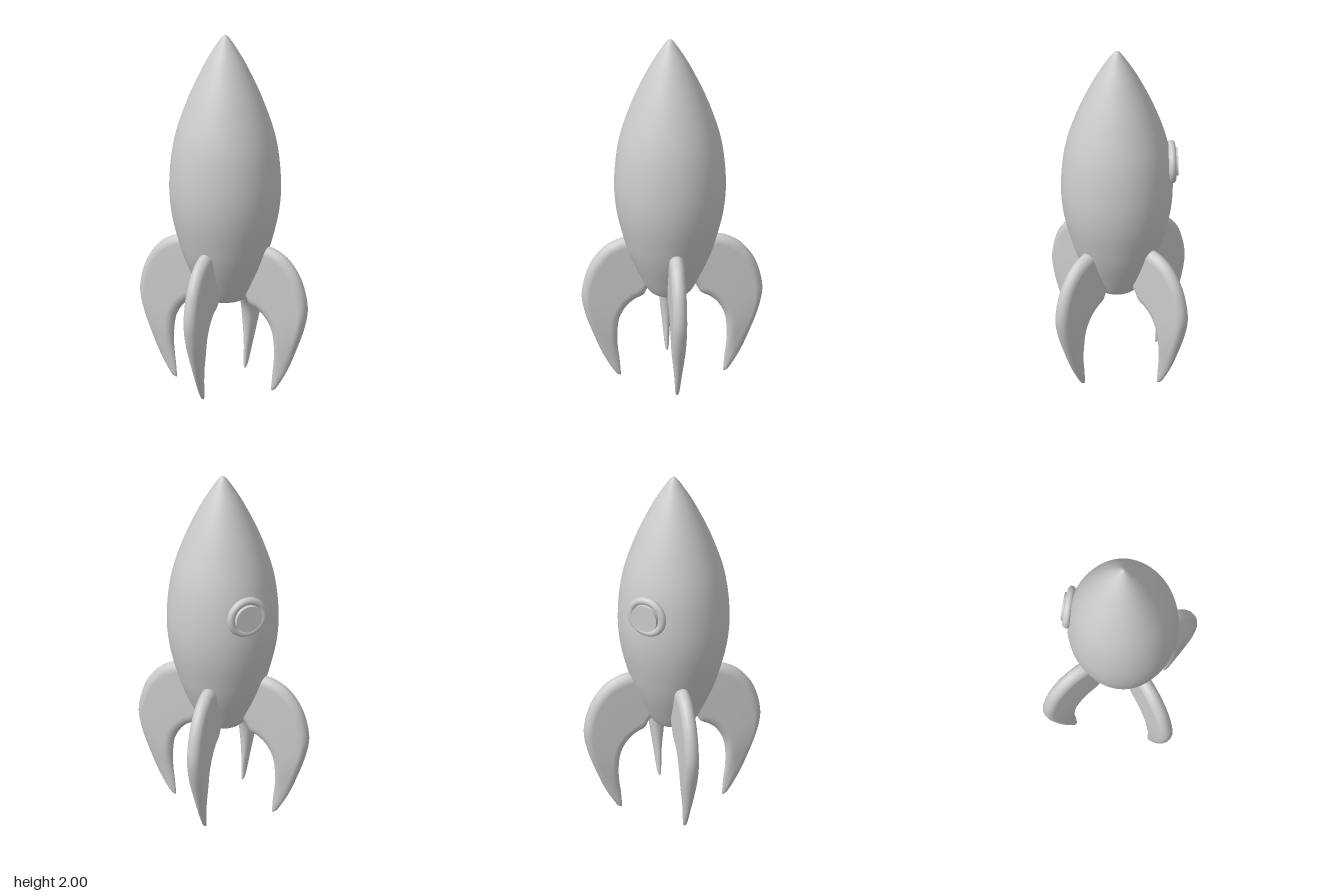
import * as THREE from 'three';

const material = new THREE.MeshStandardMaterial({ color: 0xcccccc });
const v2 = (p) => new THREE.Vector2(p[0], p[1]);
const BODY_X = 0.012, BODY_Z = 0.012; // hull axis sits slightly off the fin centre

function part(name, geometry) {
  const mesh = new THREE.Mesh(geometry, material);
  mesh.name = name;
  return mesh;
}

// Hull: smooth spindle with a rounded base and pointed nose
function hullGeometry() {
  const profile = new THREE.SplineCurve([
    [0, 0.493], [0.07, 0.495], [0.108, 0.508], [0.132, 0.54], [0.165, 0.605],
    [0.212, 0.71], [0.249, 0.82], [0.291, 1.0], [0.301, 1.18], [0.276, 1.4],
    [0.207, 1.62], [0.118, 1.82], [0.05, 1.94], [0.016, 1.99], [0, 2.0],
  ].map(v2)).getPoints(84);
  profile.forEach((p) => { p.x = Math.max(0, p.x); });
  return new THREE.LatheGeometry(profile, 64);
}

// Fin: sections lofted between an outer and an inner edge, thinning to the tip
function finGeometry() {
  const outer = [[0.15, 0.81], [0.24, 0.823], [0.32, 0.8], [0.39, 0.748], [0.455, 0.648],
    [0.489, 0.505], [0.47, 0.38], [0.42, 0.24], [0.37, 0.125], [0.31, 0.025], [0.285, 0.004]];
  const inner = [[0.1, 0.56], [0.135, 0.515], [0.155, 0.48], [0.205, 0.453], [0.25, 0.41],
    [0.285, 0.34], [0.296, 0.25], [0.293, 0.17], [0.284, 0.1], [0.278, 0.03], [0.277, 0.004]];
  const half = [0.04, 0.04, 0.04, 0.04, 0.04, 0.039, 0.035, 0.026, 0.018, 0.011, 0.004];
  const curve = (pts) => new THREE.CatmullRomCurve3(
    pts.map((p, i) => new THREE.Vector3(p[0], p[1], half[i])), false, 'catmullrom');
  const outerCurve = curve(outer), innerCurve = curve(inner);
  const stations = 60, arc = 9, ring = arc * 2;
  const positions = [], index = [];

  for (let s = 0; s <= stations; s++) {
    const o = outerCurve.getPoint(s / stations), n = innerCurve.getPoint(s / stations);
    const dx = o.x - n.x, dy = o.y - n.y, chord = Math.hypot(dx, dy);
    const edge = Math.min(0.05, chord / 2); // length of the rounded edge
    for (let k = 0; k < ring; k++) {
      const outerHalf = k < arc;
      const a = -Math.PI / 2 + Math.PI * (outerHalf ? k / (arc - 1) : 1 + (k - arc) / (arc - 1));
      const d = (outerHalf ? chord - edge : edge) + edge * Math.cos(a);
      positions.push(n.x + dx / chord * d, n.y + dy / chord * d, o.z * Math.sin(a));
    }
  }
  for (let s = 0; s < stations; s++) {
    for (let k = 0; k < ring; k++) {
      const a = s * ring + k, b = s * ring + (k + 1) % ring;
      index.push(a, b, a + ring, b, b + ring, a + ring);
    }
  }
  // Close the tip
  const last = stations * ring;
  for (let k = 1; k < ring - 1; k++) index.push(last, last + k, last + k + 1);

  const geometry = new THREE.BufferGeometry();
  geometry.setAttribute('position', new THREE.Float32BufferAttribute(positions, 3));
  geometry.setIndex(index);
  geometry.computeVertexNormals();
  return geometry;
}

// Porthole, facing +z: rounded rim, backing plate and raised glass
function createPorthole() {
  const porthole = new THREE.Group();
  porthole.name = 'porthole';
  porthole.add(part('portholeRim', new THREE.TorusGeometry(0.096, 0.021, 16, 48)));

  const plate = part('portholePlate', new THREE.CylinderGeometry(0.096, 0.096, 0.04, 48));
  plate.rotation.x = Math.PI / 2;
  plate.position.z = -0.008;

  const glass = part('portholeGlass', new THREE.CylinderGeometry(0.077, 0.077, 0.06, 48));
  glass.rotation.x = Math.PI / 2;
  glass.position.z = 0.003;
  porthole.add(plate, glass);
  return porthole;
}

export function createModel() {
  const model = new THREE.Group();
  model.name = 'rocket';

  const hull = part('hull', hullGeometry());
  hull.position.set(BODY_X, 0, BODY_Z);
  model.add(hull);

  // Four fins around the base
  const finShape = finGeometry();
  for (let i = 0; i < 4; i++) {
    const fin = part('fin', finShape);
    fin.rotation.y = i * Math.PI / 2;
    model.add(fin);
  }

  // Porthole on the rear side of the hull
  const heading = Math.PI + THREE.MathUtils.degToRad(47);
  const porthole = createPorthole();
  porthole.rotation.y = heading;
  porthole.position.set(BODY_X + 0.296 * Math.sin(heading), 1.28, BODY_Z + 0.296 * Math.cos(heading));
  model.add(porthole);

  return model;
}
